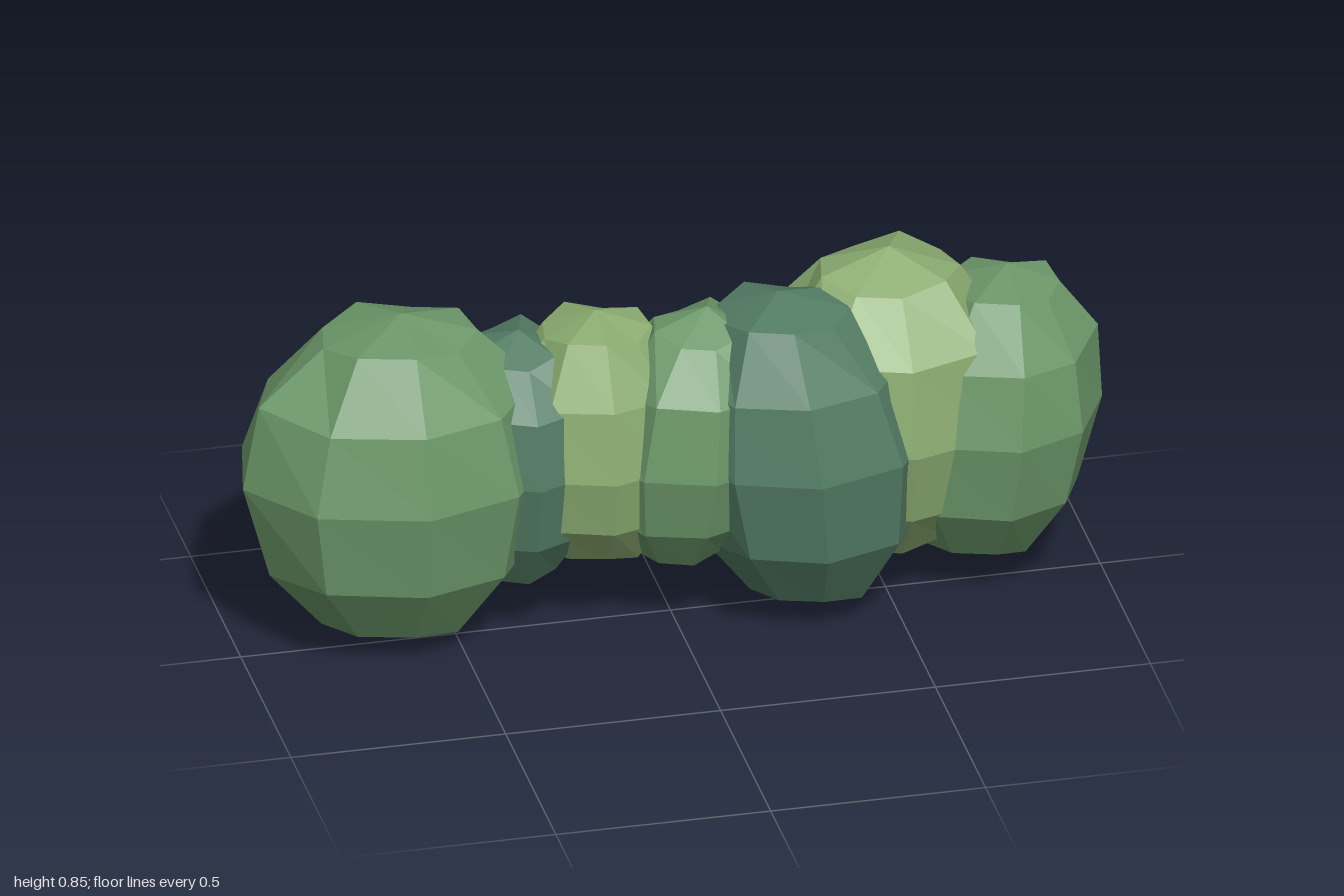
import * as THREE from 'three';

const MID = 0x6b9668, LIGHT = 0x8aab70, DARK = 0x537c64;
const RINGS = 6, SIDES = 9;
const WAIST = 0.44; // height of every bush's widest ring

// x: right edge, centre, left edge; z: back, centre, front; y: bottom, top;
// lean: sideways shift of the top, mirrored at the bottom
const BUSHES = [
  { name: 'bushFarRight', color: MID, x: [-1, -0.62, -0.28], z: [-0.32, -0.03, 0.27], y: [0, 0.82], lean: 0 },
  { name: 'bushRightGap', color: DARK, x: [-0.54, -0.345, -0.15], z: [-0.28, -0.04, 0.19], y: [0.11, 0.74], lean: 0 },
  { name: 'bushInnerRight', color: LIGHT, x: [-0.42, -0.17, 0.08], z: [-0.25, -0.02, 0.2], y: [0.15, 0.78], lean: 0 },
  { name: 'bushMiddle', color: MID, x: [-0.19, 0.05, 0.25], z: [-0.18, 0.02, 0.25], y: [0.15, 0.78], lean: 0.03 },
  { name: 'bushInnerLeft', color: DARK, x: [-0.01, 0.28, 0.59], z: [-0.22, 0.04, 0.32], y: [0.01, 0.81], lean: -0.04 },
  { name: 'bushBackLeft', color: LIGHT, x: [0.2, 0.52, 0.84], z: [-0.33, -0.05, 0.23], y: [0.09, 0.845], lean: 0 },
  { name: 'bushFarLeft', color: MID, x: [0.47, 0.76, 1], z: [-0.25, -0.03, 0.25], y: [0.05, 0.78], lean: 0.03 },
];

// Offset along one axis, reaching further on one side than the other
const reach = ([low, mid, high], s) => mid + s * (s > 0 ? high - mid : mid - low);

// Lopsided faceted ball: one corner faces the front, a flat side the back
function bushGeometry({ x, y, z, lean }, phase) {
  const positions = [], indices = [];
  const sideScale = 1 / Math.cos(Math.PI / 18), backScale = 1 / Math.cos(Math.PI / SIDES);
  for (let i = 0; i <= RINGS; i++) {
    const a = (i / RINGS) * Math.PI;
    const rise = Math.cos(a);
    for (let j = 0; j < SIDES; j++) {
      const b = (j / SIDES) * Math.PI * 2;
      // slight unevenness away from the poles and the widest ring
      const wobble = i % (RINGS / 2) ? Math.sin(j * 2.4 + i * 1.7 + phase * 3.1) : 0;
      const r = Math.sin(a) * (1 + 0.04 * wobble);
      const depth = Math.cos(b);
      positions.push(
        reach(x, Math.sin(b) * sideScale * r) + lean * rise,
        reach([y[0], WAIST, y[1]], rise) + 0.012 * wobble,
        reach(z, depth * (depth < 0 ? backScale : 1) * r),
      );
      if (i === RINGS) continue;
      const k = (j + 1) % SIDES;
      const tl = i * SIDES + j, tr = i * SIDES + k, bl = tl + SIDES, br = tr + SIDES;
      if (i < RINGS - 1) indices.push(tl, bl, br);
      if (i > 0) indices.push(tl, br, tr);
    }
  }
  const geometry = new THREE.BufferGeometry();
  geometry.setAttribute('position', new THREE.Float32BufferAttribute(positions, 3));
  geometry.setIndex(indices);
  const flat = geometry.toNonIndexed();
  flat.computeVertexNormals();
  return flat;
}

export function createModel() {
  const hedge = new THREE.Group();
  hedge.name = 'hedge';
  BUSHES.forEach((bush, i) => {
    const material = new THREE.MeshStandardMaterial({ color: bush.color, flatShading: true });
    const mesh = new THREE.Mesh(bushGeometry(bush, i), material);
    mesh.name = bush.name;
    hedge.add(mesh);
  });
  return hedge;
}
